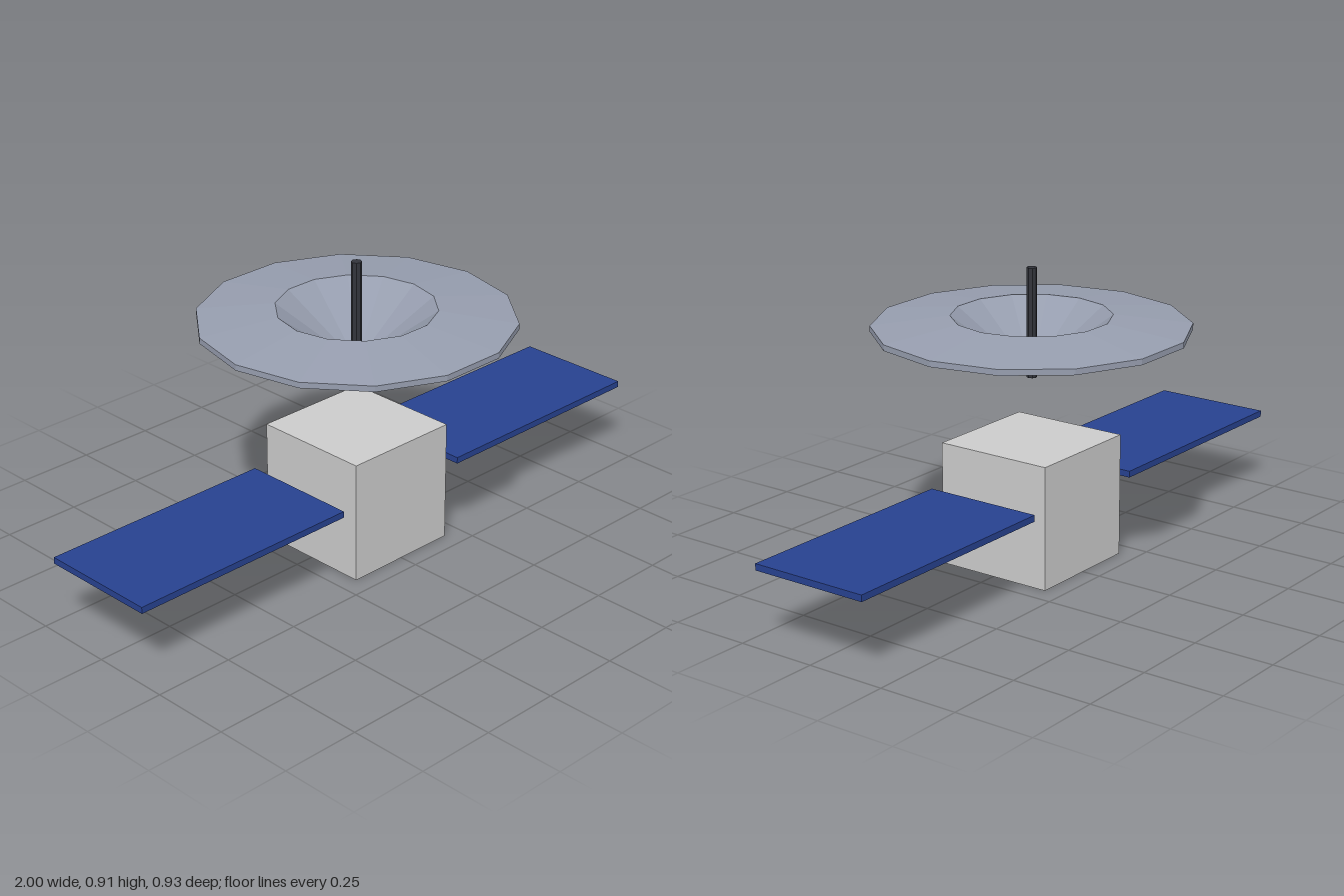
import * as THREE from 'three';

function part(name, geometry, color, x = 0, y = 0, z = 0) {
  const material = new THREE.MeshStandardMaterial({ color, flatShading: true });
  const mesh = new THREE.Mesh(geometry, material);
  mesh.name = name;
  mesh.position.set(x, y, z);
  return mesh;
}

export function createModel() {
  const group = new THREE.Group();
  group.name = 'satellite';

  // Cubic body
  group.add(part('body', new THREE.BoxGeometry(0.38, 0.38, 0.38), 0xcccccc, 0, 0.19, 0));

  // Solar panels, floating on either side of the body
  for (const [name, side] of [['leftSolarPanel', 1], ['rightSolarPanel', -1]]) {
    group.add(part(name, new THREE.BoxGeometry(0.76, 0.02, 0.38), 0x27418f, side * 0.62, 0.24, 0));
  }

  // Antenna dish: closed 14-sided profile, from the outer tip round the rim to the inner tip
  const profile = [
    [0, 0.573], [0.205, 0.715], [0.475, 0.715], [0.475, 0.733], [0.24, 0.762], [0, 0.585],
  ].map(([r, y]) => new THREE.Vector2(r, y));
  group.add(part('dish', new THREE.LatheGeometry(profile, 14, Math.PI / 2), 0x969dae));

  // Feed rod through the centre of the dish
  group.add(part('feedRod', new THREE.CylinderGeometry(0.016, 0.016, 0.333, 8), 0x33353c, 0, 0.739, 0));

  return group;
}
